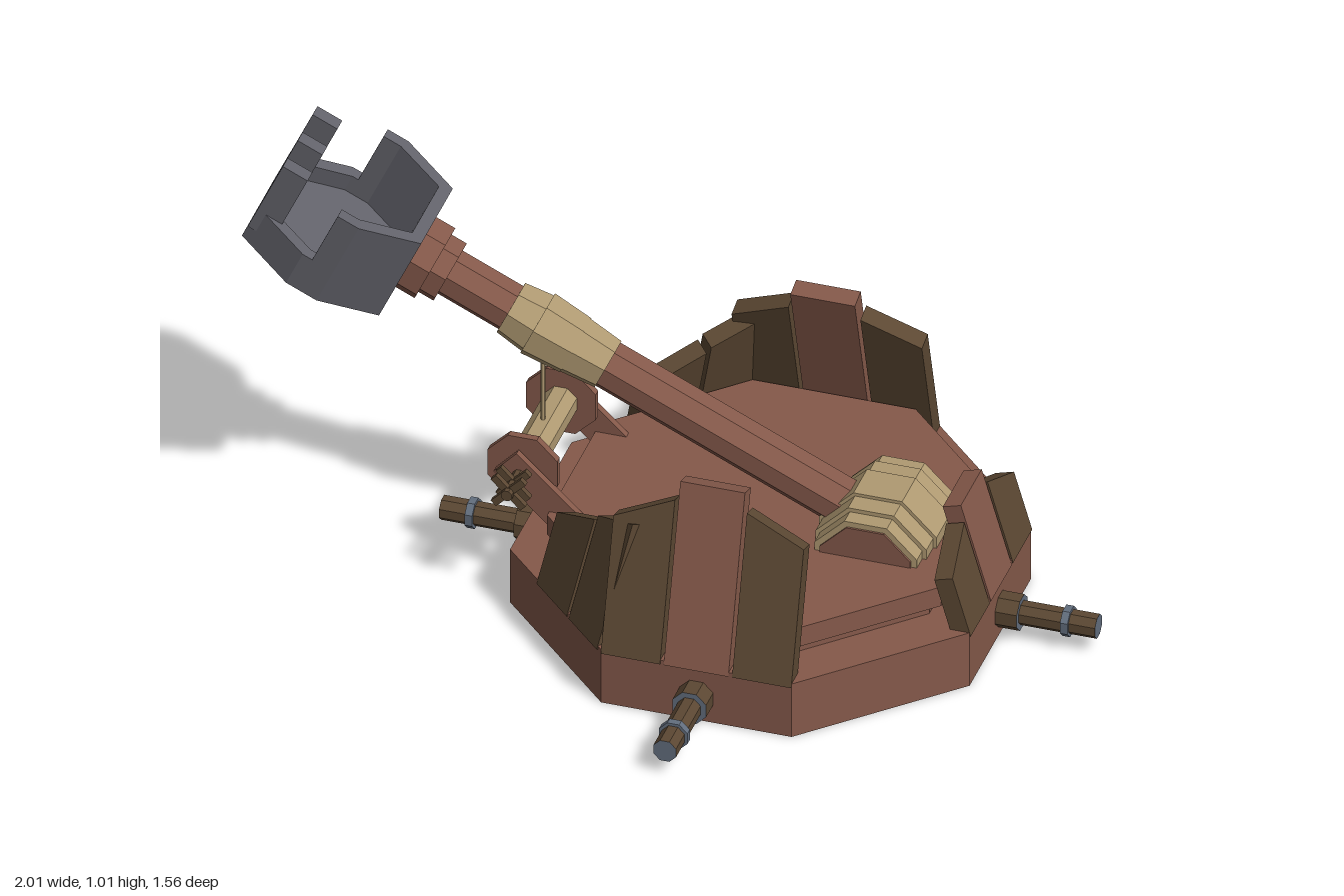
import * as THREE from 'three';

const mat = (name, color) => new THREE.MeshStandardMaterial({ name, color, flatShading: true });

export function createModel() {
  const redWood = mat('red wood', 0x85594a);
  const darkWood = mat('dark wood', 0x5c4833);
  const rope = mat('rope', 0xb09a72);
  const iron = mat('iron', 0x62626a);
  const steel = mat('steel', 0x636e7e);

  const model = new THREE.Group();
  model.name = 'catapult';
  const CX = 0.218, APOTHEM = 0.548, BASE_TOP = 0.145;

  const add = (parent, name, geometry, material, x = 0, y = 0, z = 0) => {
    const mesh = new THREE.Mesh(geometry, material);
    mesh.name = name;
    mesh.position.set(x, y, z);
    parent.add(mesh);
    return mesh;
  };
  const group = (parent, name, x = 0, y = 0, z = 0) => {
    const g = new THREE.Group();
    g.name = name;
    g.position.set(x, y, z);
    parent.add(g);
    return g;
  };
  // Octagonal prism, flats facing the axes; apothems given for top and bottom
  const octagon = (top, bottom, height) => {
    const k = 1 / Math.cos(Math.PI / 8);
    return new THREE.CylinderGeometry(top * k, bottom * k, height, 8).rotateY(Math.PI / 8);
  };
  const alongZ = (a, length) => octagon(a, a, length).rotateX(Math.PI / 2);
  const extrude = (shape, depth) => new THREE.ExtrudeGeometry(shape, { depth, bevelEnabled: false });
  const shapeOf = (pts) => new THREE.Shape(pts.map(([x, y]) => new THREE.Vector2(x, y)));

  // Stepped octagonal platform
  add(model, 'base', octagon(APOTHEM, APOTHEM, BASE_TOP), redWood, CX, BASE_TOP / 2, 0);
  add(model, 'deckRiser', octagon(0.437, 0.437, 0.04), redWood, CX, 0.163, 0);
  add(model, 'deck', octagon(0.47, 0.47, 0.052), redWood, CX, 0.208, 0);

  // Axle stubs on four sides, with steel ends and rings
  for (let i = 0; i < 4; i++) {
    const axle = group(model, 'axle', CX, 0.065, 0);
    axle.rotation.y = i * Math.PI / 2;
    add(axle, 'axleHub', alongZ(0.04, 0.07), [darkWood, steel, steel], 0, 0, 0.565);
    add(axle, 'axleStub', alongZ(0.027, 0.22), [darkWood, steel, steel], 0, 0, 0.672);
    add(axle, 'axleRing', alongZ(0.034, 0.018), steel, 0, 0, 0.71);
  }

  // Leaning plank on the platform side whose outward normal is at the given angle
  const LEAN = 0.283, PLANK = 0.045;
  const plank = (angle, t0, t1, top0, top1, material) => {
    const side = group(model, 'shieldPlank', CX, BASE_TOP, 0);
    side.rotation.y = angle;
    const h = (y) => (y - BASE_TOP) / Math.cos(LEAN);
    const geo = extrude(shapeOf([[t0, -0.01], [t1, -0.01], [t1, h(top1)], [t0, h(top0)]]), PLANK);
    geo.translate(0, 0, -PLANK);
    add(side, 'plank', geo, material, 0, 0, APOTHEM).rotation.x = -LEAN;
  };
  for (const [angle, mid, inner, outer] of [
    [0, 0.56, 0.515, 0.455], [Math.PI, 0.56, 0.515, 0.455], [Math.PI / 2, 0.383, 0.345, 0.285],
  ]) {
    plank(angle, -0.077, 0.077, mid, mid, redWood);
    plank(angle, -0.227, -0.086, outer, inner, darkWood);
    plank(angle, 0.086, 0.227, inner, outer, darkWood);
  }
  // Lower planks on the two diagonal sides behind the winch
  plank(-Math.PI / 4, 0.07, 0.21, 0.395, 0.45, darkWood);
  plank(-Math.PI / 4, -0.09, 0.06, 0.315, 0.38, darkWood);
  plank(-3 * Math.PI / 4, -0.21, -0.07, 0.45, 0.395, darkWood);
  plank(-3 * Math.PI / 4, -0.06, 0.09, 0.38, 0.315, darkWood);

  // Pivot log wound with rope
  const pivot = group(model, 'pivot', 0.49, 0.205, 0);
  add(pivot, 'pivotLog', alongZ(0.108, 0.29), redWood);
  for (const [a, length] of [[0.122, 0.28], [0.132, 0.2], [0.14, 0.1]]) {
    add(pivot, 'pivotRope', alongZ(a, length), rope);
  }

  // Throwing arm: local -x points to the bucket
  const arm = group(model, 'throwingArm', -0.628, 0.752, 0);
  arm.rotation.z = -0.433;
  const armPiece = (name, x0, x1, a0, a1, material) =>
    add(arm, name, octagon(a0, a1, x1 - x0).rotateZ(Math.PI / 2), material, (x0 + x1) / 2, 0, 0);
  armPiece('armBeam', 0, 1.17, 0.054, 0.054, redWood);
  armPiece('armCollar', -0.005, 0.05, 0.088, 0.088, redWood);
  armPiece('armCollarStep', 0.05, 0.09, 0.072, 0.072, redWood);
  armPiece('armRope', 0.25, 0.32, 0.062, 0.07, rope);
  armPiece('armRope', 0.32, 0.42, 0.075, 0.068, rope);
  armPiece('armRope', 0.42, 0.505, 0.066, 0.058, rope);

  // Octagonal bucket: floor, low rim, high wall on the arm side, and prongs
  const bucket = group(arm, 'bucket', -0.18, -0.12, 0);
  const ring = (a, b, c, d) => [[a, b], [c, d], [-c, d], [-a, b], [-a, -b], [-c, -d], [c, -d], [a, -b]];
  const outer = ring(0.18, 0.117, 0.04, 0.185);
  const inner = ring(0.15, 0.098, 0.03, 0.155);
  const upright = (shape, depth) => extrude(shape, depth).rotateX(-Math.PI / 2);
  add(bucket, 'bucketFloor', upright(shapeOf(outer), 0.05), iron);
  const rim = shapeOf(outer);
  rim.holes.push(shapeOf(inner));
  add(bucket, 'bucketRim', upright(rim, 0.045), iron, 0, 0.05, 0);
  const wall = shapeOf([
    [-0.015, 0.185], [0.04, 0.185], [0.18, 0.117], [0.18, -0.117], [0.04, -0.185], [-0.015, -0.185],
    [-0.015, -0.155], [0.03, -0.155], [0.15, -0.098], [0.15, 0.098], [0.03, 0.155], [-0.015, 0.155],
  ]);
  add(bucket, 'bucketWall', upright(wall, 0.145), iron, 0, 0.095, 0);
  for (const z of [-0.11, 0, 0.11]) {
    add(bucket, 'bucketProng', new THREE.BoxGeometry(0.065, 0.2, 0.036), iron, -0.147, 0.14, z);
  }

  // Winch: rope drum, axle, flanges, struts and cross handles
  const winch = group(model, 'winch', -0.325, 0.32, 0);
  add(winch, 'winchDrum', alongZ(0.038, 0.27), rope);
  add(winch, 'winchAxle', alongZ(0.013, 0.54), darkWood);
  for (const s of [-1, 1]) {
    add(winch, 'winchFlange', alongZ(0.083, 0.018), redWood, 0, 0, s * 0.142);
    const strut = add(winch, 'winchStrut', new THREE.BoxGeometry(0.24, 0.08, 0.018), redWood, 0.055, -0.055, s * 0.17);
    strut.rotation.z = -0.75;
    for (const z of [0.215, 0.25]) {
      for (const turn of [1, -1]) {
        const spoke = add(winch, 'winchHandle', new THREE.BoxGeometry(0.1, 0.018, 0.014), darkWood, 0, 0, s * z);
        spoke.rotation.z = turn * Math.PI / 4;
      }
    }
  }
  // Line from the drum up to the arm
  add(model, 'pullLine', new THREE.CylinderGeometry(0.006, 0.006, 0.25, 6), rope, -0.325, 0.455, 0);

  return model;
}
